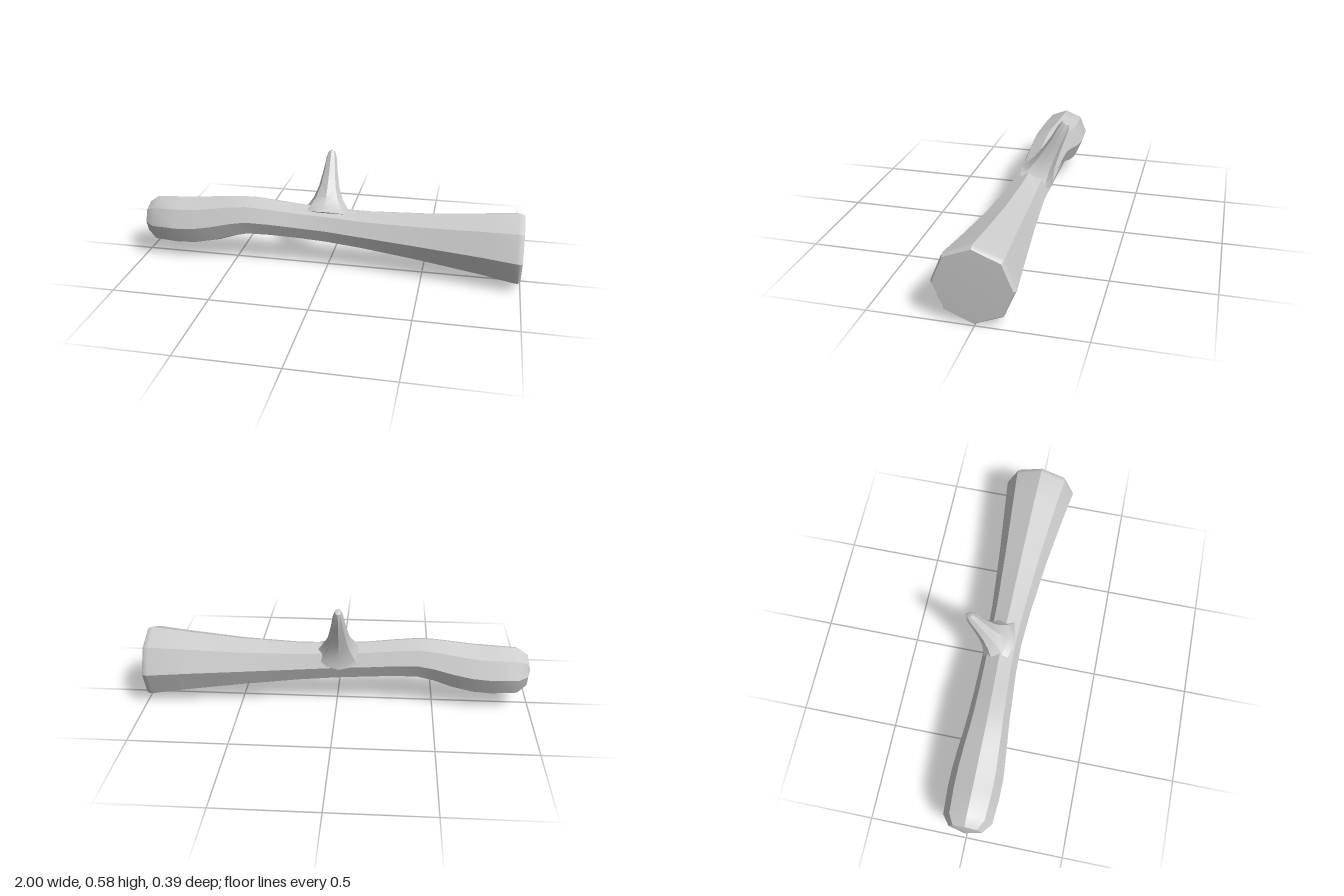
import * as THREE from 'three';
import { toCreasedNormals } from 'three/addons/utils/BufferGeometryUtils.js';

const SIDES = 8;

// Skin a list of rings {c: centre, u, v: half-axis vectors}, closing both ends with fans.
// u x v must point along the direction of travel.
function loft(rings, startTip, endTip) {
  const pos = [], index = [];
  for (const { c, u, v } of rings) {
    for (let i = 0; i < SIDES; i++) {
      const a = (i / SIDES) * Math.PI * 2;
      const p = c.clone().addScaledVector(u, Math.cos(a)).addScaledVector(v, Math.sin(a));
      pos.push(p.x, p.y, p.z);
    }
  }
  const start = rings.length * SIDES, end = start + 1, last = start - SIDES;
  pos.push(...startTip.toArray(), ...endTip.toArray());
  for (let i = 0; i < SIDES; i++) {
    const j = (i + 1) % SIDES;
    for (let r = 0; r < last; r += SIDES) {
      index.push(r + i, r + j, r + SIDES + j, r + i, r + SIDES + j, r + SIDES + i);
    }
    index.push(start, j, i, end, last + i, last + j);
  }
  const g = new THREE.BufferGeometry();
  g.setAttribute('position', new THREE.Float32BufferAttribute(pos, 3));
  g.setIndex(index);
  return toCreasedNormals(g, 0.6);
}

export function createModel() {
  const group = new THREE.Group();
  const material = new THREE.MeshStandardMaterial({ color: 0xcccccc });
  const V = (x, y, z) => new THREE.Vector3(x, y, z);
  const add = (name, geometry) => {
    const mesh = new THREE.Mesh(geometry, material);
    mesh.name = name;
    group.add(mesh);
  };

  // Log: x, bottom, top, back, front of each octagonal section
  const log = [
    [-0.98, 0.115, 0.285, -0.085, 0.085],
    [-0.93, 0.072, 0.32, -0.123, 0.125],
    [-0.8, 0.064, 0.327, -0.131, 0.134],
    [-0.7, 0.071, 0.333, -0.13, 0.134],
    [-0.6, 0.093, 0.345, -0.122, 0.126],
    [-0.5, 0.127, 0.355, -0.111, 0.116],
    [-0.42, 0.146, 0.358, -0.105, 0.108],
    [-0.3, 0.147, 0.348, -0.102, 0.1],
    [-0.15, 0.14, 0.333, -0.102, 0.089],
    [0, 0.13, 0.327, -0.103, 0.086],
    [0.2, 0.112, 0.321, -0.111, 0.097],
    [0.5, 0.075, 0.335, -0.135, 0.127],
    [0.8, 0.032, 0.363, -0.165, 0.168],
    [0.965, 0.003, 0.38, -0.182, 0.195],
    [0.985, 0.003, 0.378, -0.181, 0.195],
    [0.996, 0.011, 0.369, -0.173, 0.187],
  ].map(([x, y0, y1, z0, z1]) => ({
    c: V(x, (y0 + y1) / 2, (z0 + z1) / 2),
    u: V(0, (y1 - y0) / 2, 0),
    v: V(0, 0, (z1 - z0) / 2),
  }));
  add('log', loft(log, V(-1, 0.2, 0), V(1, 0.19, 0.007)));

  // Branch stub: flared at the root, leaning back; y, z, half width, half depth
  const branch = [
    [0.275, -0.03, 0.15, 0.1],
    [0.3, -0.045, 0.115, 0.08],
    [0.35, -0.07, 0.078, 0.06],
    [0.405, -0.098, 0.055, 0.048],
    [0.48, -0.135, 0.038, 0.036],
    [0.55, -0.167, 0.026, 0.03],
    [0.576, -0.178, 0.016, 0.02],
  ].map(([y, z, w, d]) => ({
    c: V(-0.014, y, z),
    u: V(0, 0.5 * d, 0.866 * d),
    v: V(w, 0, 0),
  }));
  add('branchStub', loft(branch, V(-0.014, 0.27, -0.027), V(-0.014, 0.581, -0.18)));

  return group;
}
